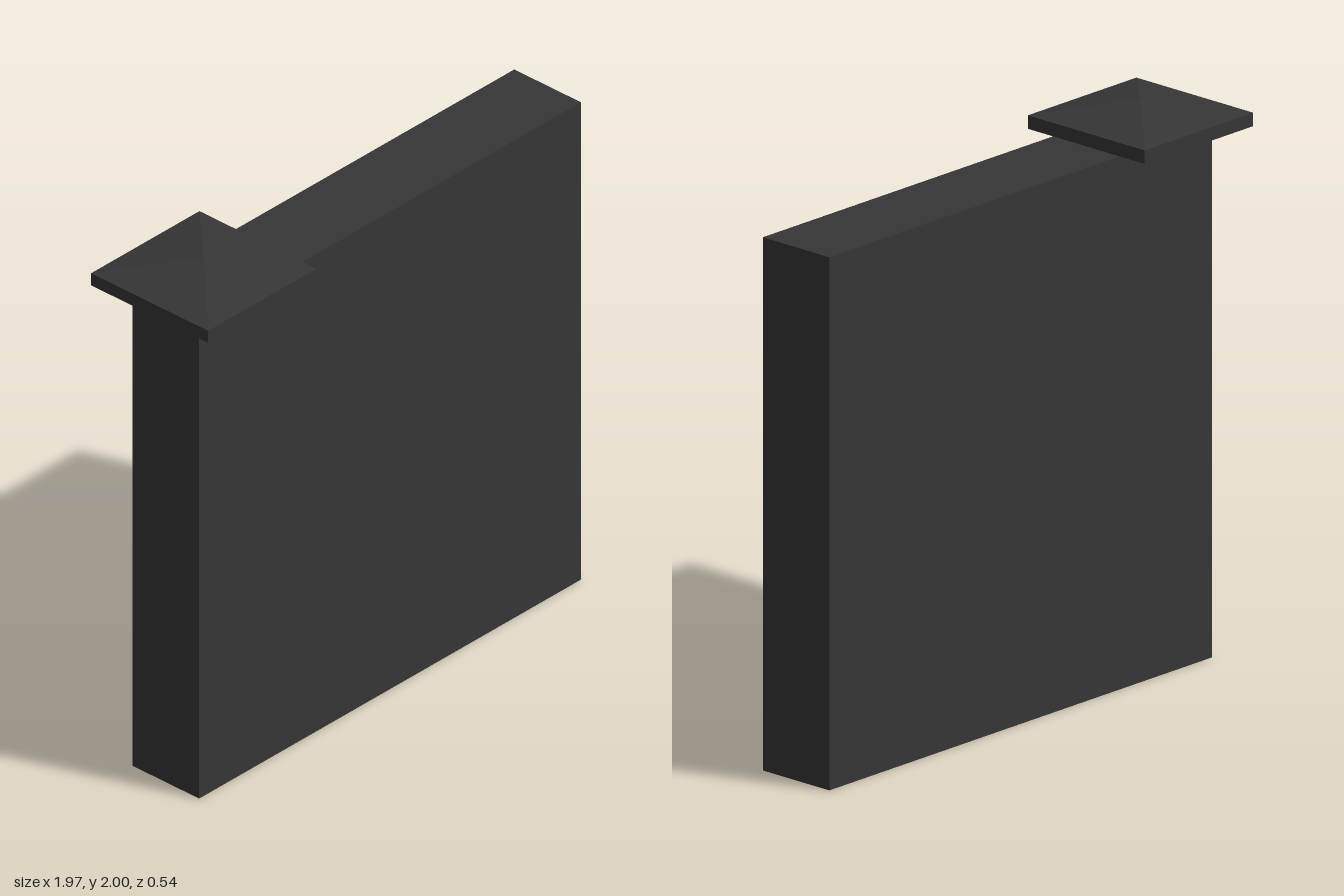
import * as THREE from 'three';

export function createModel() {
  const model = new THREE.Group();
  const charcoal = new THREE.MeshStandardMaterial({ color: 0x363636, flatShading: true });
  charcoal.name = 'charcoal';

  const add = (name, geometry, x, y, z = 0) => {
    const mesh = new THREE.Mesh(geometry, charcoal);
    mesh.name = name;
    mesh.position.set(x, y, z);
    model.add(mesh);
  };

  const wallHeight = 1.897, wallLeft = -0.906, wallRight = 0.986;
  const capX = -0.718, capSize = 0.537, slabHeight = 0.048, roofHeight = 0.055;

  // Solid wall panel
  add('wall', new THREE.BoxGeometry(wallRight - wallLeft, wallHeight, 0.306),
    (wallLeft + wallRight) / 2, wallHeight / 2);

  // Square cap slab resting on one end of the wall
  add('capSlab', new THREE.BoxGeometry(capSize, slabHeight, capSize),
    capX, wallHeight + slabHeight / 2);

  // Shallow pyramid on the slab
  const pyramid = new THREE.ConeGeometry(capSize / Math.SQRT2, roofHeight, 4, 1, true);
  pyramid.rotateY(Math.PI / 4);
  add('capPyramid', pyramid, capX, wallHeight + slabHeight + roofHeight / 2);

  return model;
}
